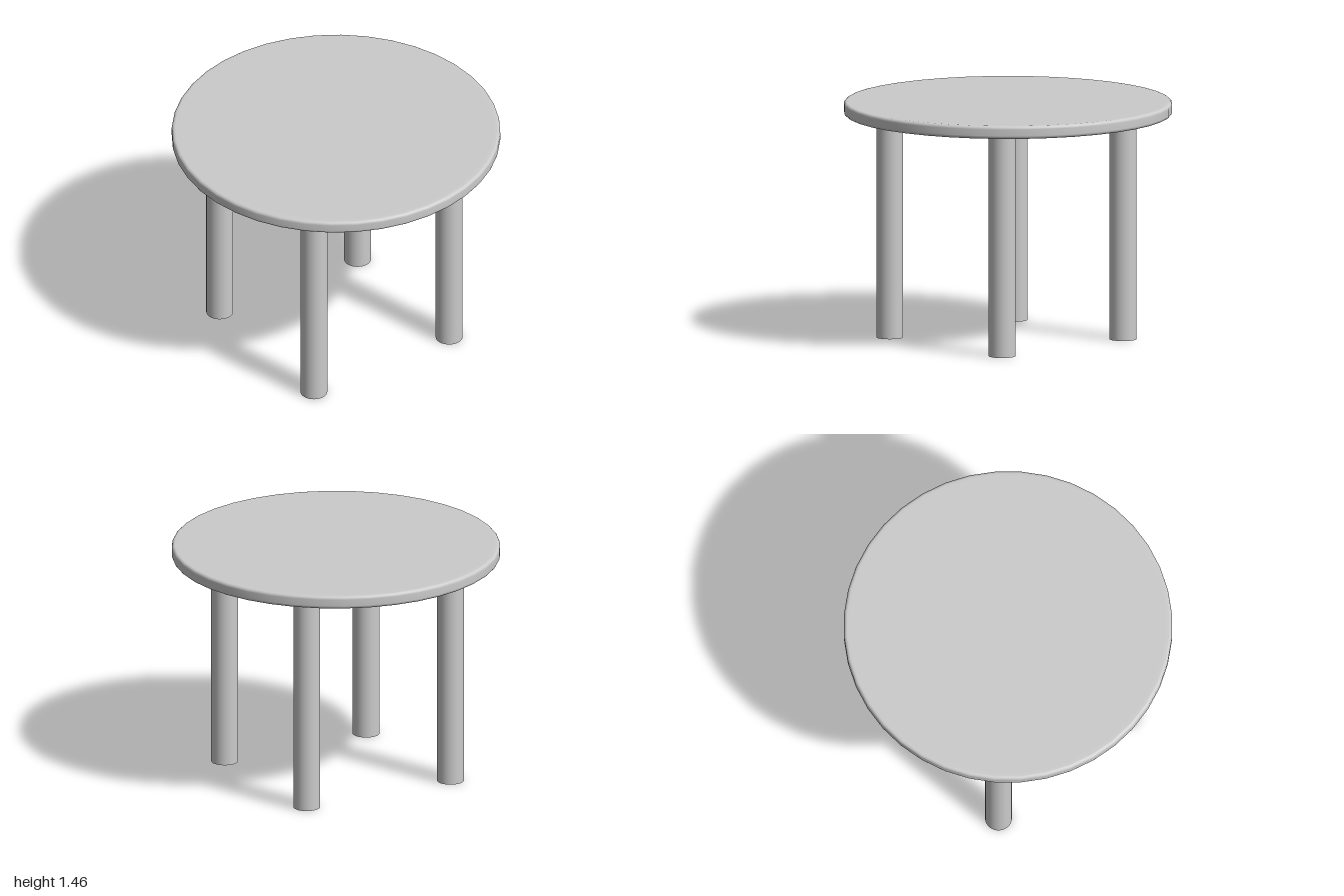
import * as THREE from 'three';

const material = new THREE.MeshStandardMaterial({ color: 0xcccccc });

const RADIUS = 1, BOTTOM = 1.38, TOP = 1.46, ROUND = 0.02;
const LEG_RADIUS = 0.082, LEG_OFFSET = 0.71;

// Disc with softly rounded rim
function createTabletop() {
  const profile = [new THREE.Vector2(0, BOTTOM), new THREE.Vector2(RADIUS - 2 * ROUND, BOTTOM)];
  const addCorner = (y, start) => {
    for (let i = 0; i <= 4; i++) {
      const a = start + (i / 4) * (Math.PI / 2);
      profile.push(new THREE.Vector2(RADIUS - ROUND + ROUND * Math.cos(a), y + ROUND * Math.sin(a)));
    }
  };
  addCorner(BOTTOM + ROUND, -Math.PI / 2);
  addCorner(TOP - ROUND, 0);
  // The extra inner ring keeps the flat face evenly shaded
  profile.push(new THREE.Vector2(RADIUS - 2 * ROUND, TOP), new THREE.Vector2(0, TOP));
  const top = new THREE.Mesh(new THREE.LatheGeometry(profile, 40), material);
  top.name = 'tabletop';
  return top;
}

export function createModel() {
  const table = new THREE.Group();
  table.name = 'roundTable';
  table.add(createTabletop());

  // Four round legs, one on each axis, set a touch off the centre
  const legGeometry = new THREE.CylinderGeometry(LEG_RADIUS, LEG_RADIUS, BOTTOM, 32);
  const legs = { leftLeg: [0.70, 0], rightLeg: [-0.72, 0], frontLeg: [0, 0.72], backLeg: [0, -0.70] };
  for (const [name, [x, z]] of Object.entries(legs)) {
    const leg = new THREE.Mesh(legGeometry, material);
    leg.name = name;
    leg.position.set(x, BOTTOM / 2, z);
    table.add(leg);
  }
  return table;
}
